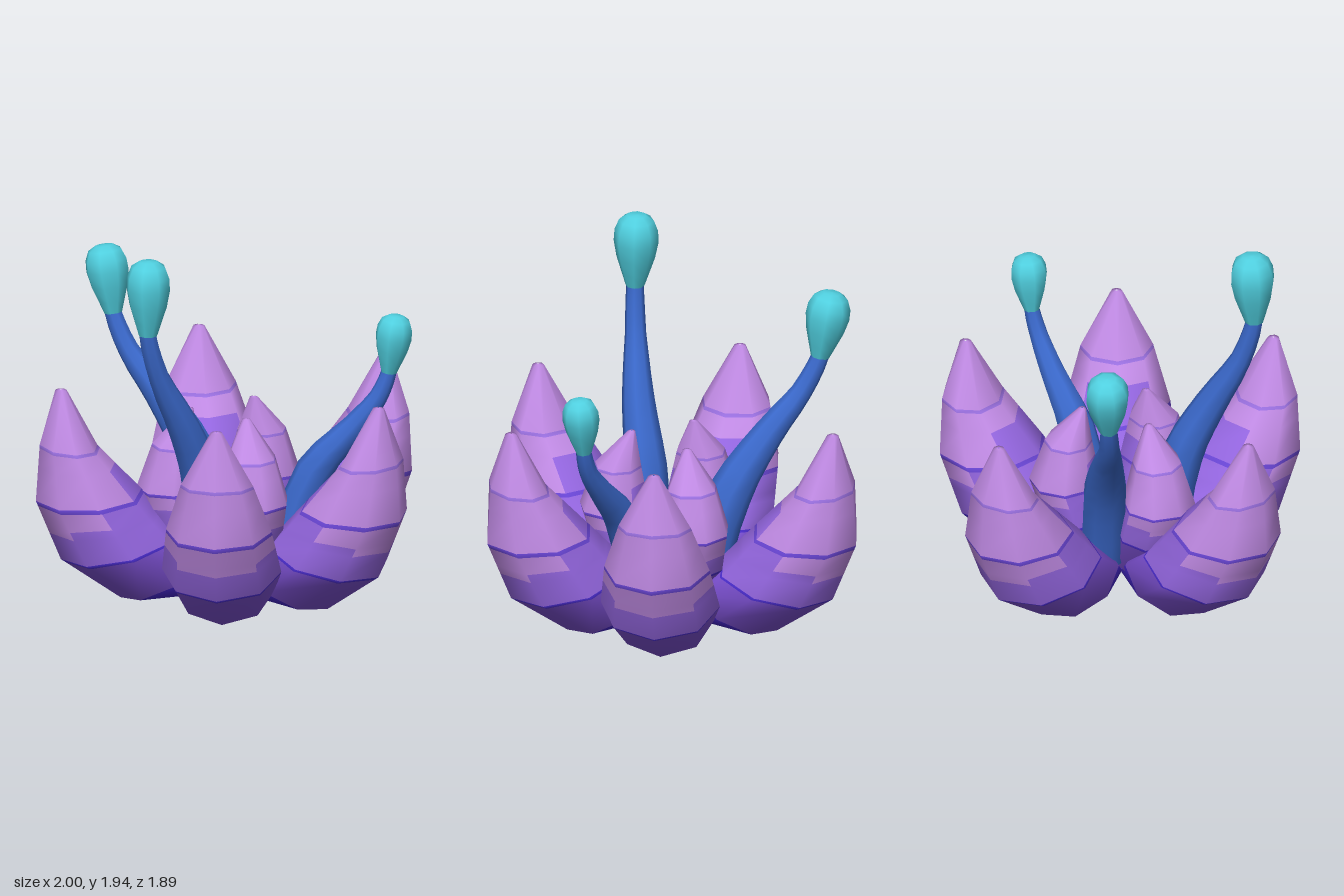
import * as THREE from 'three';

const mat = (name, color) => {
  const m = new THREE.MeshStandardMaterial({ color });
  m.name = name;
  return m;
};

const SIDES = 8;

// Smooth skin through rings { c, a, b }: centre and two half-axes. matOf(k, j) gives the material index of a face.
function loft(rings, matOf = () => 0) {
  const pos = [], index = [];
  const geo = new THREE.BufferGeometry();
  for (const { c, a, b } of rings) {
    for (let j = 0; j < SIDES; j++) {
      const t = (j / SIDES) * Math.PI * 2;
      pos.push(...c.clone().addScaledVector(a, Math.cos(t)).addScaledVector(b, Math.sin(t)).toArray());
    }
  }
  for (let k = 0; k < rings.length - 1; k++) {
    for (let j = 0; j < SIDES; j++) {
      const p = k * SIDES + j, q = k * SIDES + (j + 1) % SIDES;
      geo.addGroup(index.length, 6, matOf(k, j));
      index.push(p, p + SIDES, q, q, p + SIDES, q + SIDES);
    }
  }
  geo.setAttribute('position', new THREE.Float32BufferAttribute(pos, 3));
  geo.setIndex(index);
  geo.computeVertexNormals();
  return geo;
}

// Colour bands along a petal: [end level, material index]; the orchid starts at a stepped level around the petal
const PURPLE = 2, ORCHID = 6;
const BANDS = [[1, 0], [1.93, 1], [2, 3], [2.92, PURPLE], [3, 4], [3.94, PURPLE], [4, 5], [6, ORCHID]];
const ORCHID_FROM = [2.45, 2.6, 3, 3.6, 3.6, 3, 2.6, 2.45];

// Profile rows: [outer x, outer y, inner x, inner y, half width]
const OUTER_PETAL = [
  [0.01, 0, 0, 0.02, 0.005],
  [0.58, 0.005, 0.13, 0.24, 0.25],
  [0.89, 0.23, 0.28, 0.37, 0.305],
  [1.02, 0.55, 0.47, 0.58, 0.27],
  [1.0, 0.85, 0.7, 0.83, 0.185],
  [0.92, 1.135, 0.86, 1.135, 0.03],
  [0.895, 1.14, 0.885, 1.14, 0.005],
];
const INNER_PETAL = [
  [0.01, 0.05, 0, 0.07, 0.005],
  [0.22, 0.08, 0.02, 0.2, 0.12],
  [0.41, 0.35, 0.07, 0.4, 0.19],
  [0.48, 0.57, 0.12, 0.58, 0.19],
  [0.4, 0.8, 0.16, 0.8, 0.13],
  [0.23, 0.985, 0.19, 0.985, 0.022],
  [0.215, 0.99, 0.205, 0.99, 0.004],
];

function petalGeometry(rows) {
  const levels = [...new Set([...rows.keys(), ...BANDS.map(b => b[0]), ...ORCHID_FROM])].sort((m, n) => m - n);
  const rings = levels.map(u => {
    const k = Math.min(Math.floor(u), rows.length - 2);
    const [ox, oy, ix, iy, w] = rows[k].map((v, i) => THREE.MathUtils.lerp(v, rows[k + 1][i], u - k));
    return {
      c: new THREE.Vector3((ox + ix) / 2, (oy + iy) / 2, 0),
      a: new THREE.Vector3((ox - ix) / 2, (oy - iy) / 2, 0),
      b: new THREE.Vector3(0, 0, w),
    };
  });
  return loft(rings, (k, j) => {
    const band = BANDS.find(b => levels[k] < b[0])[1];
    return band === PURPLE && levels[k] >= ORCHID_FROM[j] ? ORCHID : band;
  });
}

// Tapered stalk along a smooth path
function stalkGeometry(points, radii) {
  const curve = new THREE.CatmullRomCurve3(points);
  const steps = 15, rings = [];
  for (let i = 0; i <= steps; i++) {
    const t = i / steps;
    const f = t * (radii.length - 1), k = Math.min(Math.floor(f), radii.length - 2);
    const r = THREE.MathUtils.lerp(radii[k], radii[k + 1], f - k);
    const dir = curve.getTangent(t);
    const b = new THREE.Vector3(1, 0, 0).cross(dir).normalize();
    const a = dir.clone().cross(b).normalize();
    rings.push({ c: curve.getPoint(t), a: a.multiplyScalar(r), b: b.multiplyScalar(r) });
  }
  return loft(rings);
}

export function createModel() {
  const group = new THREE.Group();
  const petalMats = [
    mat('deep indigo', 0x4526c8),
    mat('deep purple', 0x7f52d6),
    mat('purple', 0x9466e0),
    mat('dark violet line', 0x4c2ed2),
    mat('violet line', 0x6a46d6),
    mat('soft violet line', 0x9a70e0),
    mat('orchid', 0xc08ae4),
  ];
  const blue = mat('stalk blue', 0x3a68ca);
  const teal = mat('bulb teal', 0x50d0e0);

  // Petals: five outer, three inner
  const addPetals = (name, rows, angles, x, z) => {
    const geo = petalGeometry(rows);
    for (const deg of angles) {
      const m = new THREE.Mesh(geo, petalMats);
      m.name = name;
      m.position.set(x, 0, z);
      m.rotation.y = -THREE.MathUtils.degToRad(deg);
      group.add(m);
    }
  };
  addPetals('outerPetal', OUTER_PETAL, [0.5, 62, 124, 197, 288], -0.02, 0.025);
  addPetals('innerPetal', INNER_PETAL, [-27, 206, 97], -0.03, 0.03);

  // Stalks, each ending in a bulb: path from base to neck, radii, bulb top and radius
  const stalks = [
    { path: [[-0.21, 0.2, 0.15], [-0.29, 0.7, 0.19], [-0.42, 1, 0.24], [-0.58, 1.3, 0.27], [-0.65, 1.54, 0.28]],
      radii: [0.115, 0.11, 0.085, 0.055, 0.045], top: [-0.64, 1.935, 0.27], r: 0.115 },
    { path: [[0, 0.2, -0.13], [-0.07, 0.65, -0.26], [-0.18, 0.95, -0.45], [-0.27, 1.15, -0.61], [-0.31, 1.33, -0.7]],
      radii: [0.12, 0.115, 0.08, 0.055, 0.045], top: [-0.33, 1.68, -0.76], r: 0.113 },
    { path: [[0.19, 0.2, 0.18], [0.34, 0.65, 0.24], [0.52, 0.88, 0.33], [0.63, 1.04, 0.39], [0.68, 1.17, 0.41]],
      radii: [0.1, 0.095, 0.065, 0.048, 0.04], top: [0.715, 1.475, 0.43], r: 0.095 },
  ];
  const bulbProfile = [[0.42, 0], [0.62, 0.18], [0.86, 0.4], [1, 0.62], [0.97, 0.78], [0.78, 0.92], [0.42, 0.99], [0, 1]];
  for (const { path, radii, top, r } of stalks) {
    const pts = path.map(p => new THREE.Vector3(...p));
    const neck = pts[4];
    const axis = new THREE.Vector3(...top).sub(neck);
    const h = axis.length();

    // The stalk runs on a little inside its bulb
    const inside = neck.clone().addScaledVector(axis, 0.15);
    const stalk = new THREE.Mesh(stalkGeometry([...pts, inside], [...radii, radii[4]]), blue);
    stalk.name = 'stalk';

    const bulb = new THREE.Mesh(
      new THREE.LatheGeometry(bulbProfile.map(([x, y]) => new THREE.Vector2(x * r, y * h)), SIDES), teal);
    bulb.name = 'bulb';
    bulb.position.copy(neck);
    bulb.quaternion.setFromUnitVectors(new THREE.Vector3(0, 1, 0), axis.normalize());
    group.add(stalk, bulb);
  }
  return group;
}
